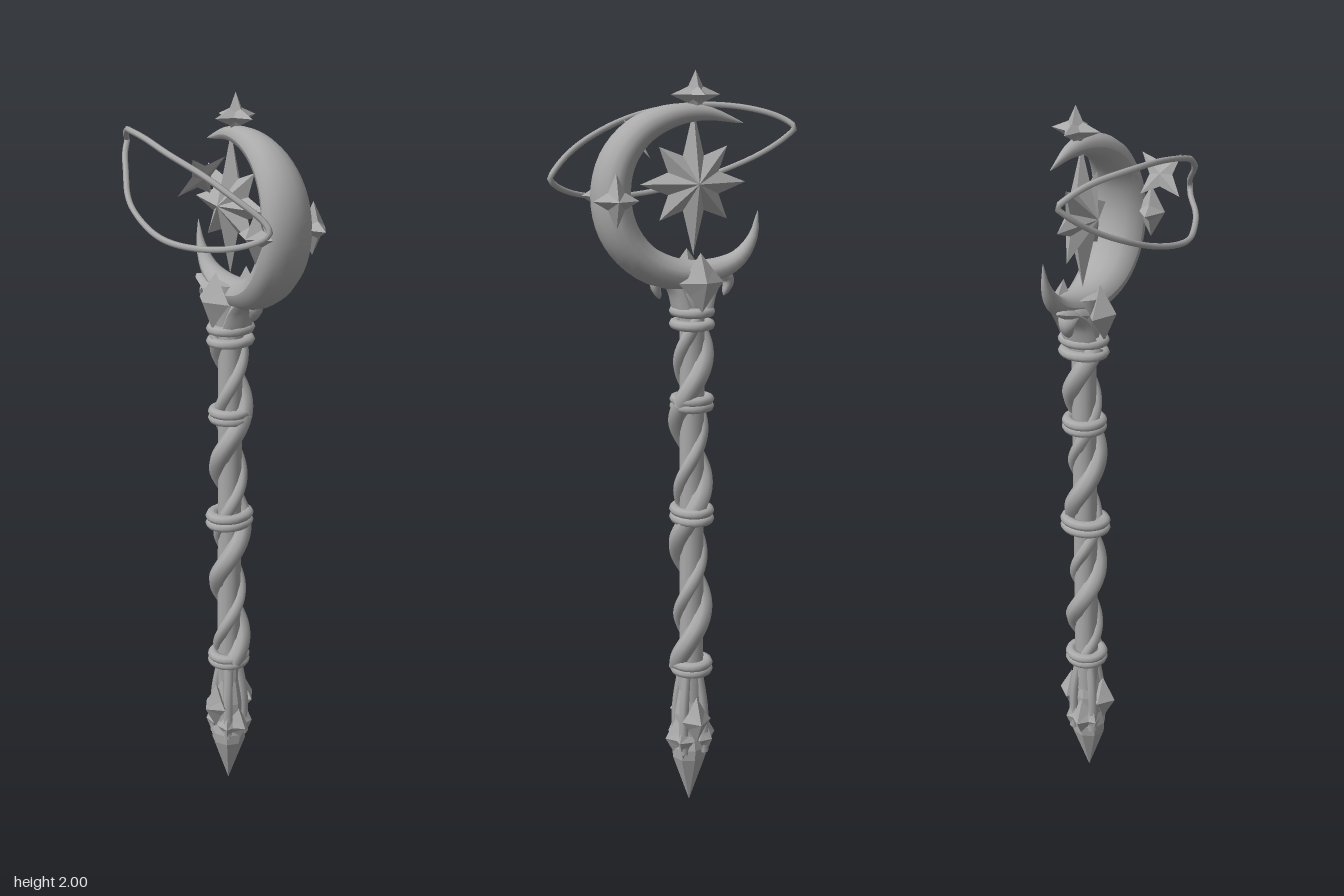
import * as THREE from 'three';

const AXIS_Z = -0.076;
const metal = new THREE.MeshStandardMaterial({ color: 0xaaaaaa });
metal.name = 'grey metal';

const V = (p) => new THREE.Vector3(p[0], p[1], p[2] ?? 0);
const curve = (pts, closed = false) => new THREE.CatmullRomCurve3(pts.map(V), closed);

// Faceted star: a zigzag outline joined to a front and a back apex
function starGeometry(tips, inner, depth) {
  const n = tips.length * 2, pos = [];
  const at = (i) => {
    const k = i % n, r = k % 2 ? inner : tips[k / 2], a = (k / n) * Math.PI * 2;
    return [Math.cos(a) * r, Math.sin(a) * r, 0];
  };
  for (let i = 0; i < n; i++) {
    pos.push(...at(i), ...at(i + 1), 0, 0, depth);
    pos.push(...at(i + 1), ...at(i), 0, 0, -depth);
  }
  const g = new THREE.BufferGeometry();
  g.setAttribute('position', new THREE.Float32BufferAttribute(pos, 3));
  g.computeVertexNormals();
  return g;
}

// Tube whose thickness follows a rule: side(t) within the xy plane, deep(t) along z
function taperedSweep(path, steps, sides, side, deep) {
  const g = new THREE.TubeGeometry(path, steps, 1, sides, false);
  const p = g.attributes.position;
  for (let i = 0; i < p.count; i++) {
    const t = Math.floor(i / (sides + 1)) / steps, c = path.getPointAt(t);
    p.setXYZ(i,
      c.x + (p.getX(i) - c.x) * side(t),
      c.y + (p.getY(i) - c.y) * side(t),
      c.z + (p.getZ(i) - c.z) * deep(t));
  }
  g.computeVertexNormals();
  return g;
}

export function createModel() {
  const root = new THREE.Group();
  root.name = 'moonStaff';
  const add = (name, geometry, pos = [0, 0, 0], rot = [0, 0, 0]) => {
    const m = new THREE.Mesh(geometry, metal);
    m.name = name;
    m.position.set(...pos);
    m.rotation.set(...rot);
    root.add(m);
    return m;
  };

  // Slim core of the shaft
  add('shaftCore', new THREE.CylinderGeometry(0.033, 0.033, 1.14, 12), [-0.003, 0.87, AXIS_Z]);

  // Vines wound around the core, one thick and one thin
  const vine = (name, y0, y1, phase, offset, radius) => {
    const pts = [];
    for (let i = 0; i <= 24; i++) {
      const y = y0 + (y1 - y0) * i / 24, a = phase - (y - 0.78) * 18;
      pts.push([Math.cos(a) * offset, y, AXIS_Z + Math.sin(a) * offset]);
    }
    add(name, new THREE.TubeGeometry(curve(pts), 56, radius, 8));
  };
  for (const [y0, y1] of [[0.41, 0.85], [0.85, 1.155], [1.155, 1.38]]) {
    vine('thickVine', y0, y1, 0, 0.034, 0.026);
    vine('thinVine', y0, y1, 2.7, 0.03, 0.017);
  }

  // Ring collars, each a pair of rounded bands, some deeper than wide
  for (const [y, gap, deep] of [[1.38, 0.017, 1.18], [1.155, 0.009, 1.04], [0.85, 0.011, 1.22], [0.412, 0.009, 1.04]]) {
    for (const s of [-1, 1]) {
      const band = add('collar', new THREE.TorusGeometry(0.044, 0.015, 8, 20),
        [-0.003, y + s * gap, AXIS_Z], [Math.PI / 2, 0, 0]);
      band.scale.set(1, deep, 0.9);
    }
  }

  // Pommel: narrow neck and a faceted spike
  const pommel = [[0, 0], [0.048, 0.14], [0.05, 0.17], [0.04, 0.21], [0.042, 0.27], [0.03, 0.34], [0.034, 0.41]];
  const spike = new THREE.LatheGeometry(pommel.map(([r, y]) => new THREE.Vector2(r, y)), 8).toNonIndexed();
  spike.computeVertexNormals();
  add('pommelSpike', spike, [0.002, 0, AXIS_Z + 0.003]);
  for (let i = 0; i < 4; i++) {
    const a = i * Math.PI / 2, zSide = i % 2 === 0;
    const out = zSide ? 0.05 : 0.035, y = zSide ? 0.265 : 0.2;
    add('pommelGem', starGeometry([0.042, 0.07, 0.042, 0.07], 0.034, 0.038),
      [Math.sin(a) * out, y, AXIS_Z + Math.cos(a) * out], [0, a, 0]);
    const b = a + Math.PI / 4;
    add('pommelLeaf', starGeometry([0.03, 0.065, 0.03, 0.065], 0.024, 0.025),
      [Math.sin(b) * 0.042, 0.2, AXIS_Z + Math.cos(b) * 0.042], [0, b, 0]);
    add('pommelRib', new THREE.TubeGeometry(curve([
      [Math.sin(b) * 0.024, 0.39, AXIS_Z + Math.cos(b) * 0.024],
      [Math.sin(b) * 0.04, 0.29, AXIS_Z + Math.cos(b) * 0.04],
      [Math.sin(b) * 0.042, 0.16, AXIS_Z + Math.cos(b) * 0.042]]), 10, 0.014, 6));
  }

  // Head: flared neck, front and back gems
  add('neck', new THREE.CylinderGeometry(0.055, 0.04, 0.14, 10), [-0.003, 1.45, AXIS_Z]);
  for (const s of [-1, 1]) {
    add('headGem', starGeometry([0.06, 0.076, 0.06, 0.076], 0.046, 0.04),
      [-0.006, 1.477, AXIS_Z - 0.003 + s * 0.057], [s * -0.08, 0, 0]);
    // Side leaves: one sweeping up and out, one hooking down
    const leaf = (pts, w, d) => add('sideLeaf', taperedSweep(
      curve(pts.map(([x, y]) => [x * s - 0.003, y, AXIS_Z])), 14, 8,
      (t) => w * Math.sqrt(1 - t) + 0.001, (t) => d * Math.sqrt(1 - t) + 0.001));
    leaf([[0.025, 1.4], [0.045, 1.455], [0.08, 1.49], [0.142, 1.513]], 0.025, 0.05);
    leaf([[0.04, 1.48], [0.085, 1.49], [0.1, 1.472], [0.088, 1.432]], 0.023, 0.036);
  }

  // Crescent moon, thick on its left side and tapering to both horns
  const moon = curve([[-0.172, 1.65], [-0.16, 1.585], [-0.12, 1.53], [-0.05, 1.5], [0.04, 1.495], [0.13, 1.53],
    [0.19, 1.6], [0.212, 1.69], [0.195, 1.78], [0.14, 1.85], [0.06, 1.888], [-0.03, 1.895], [-0.13, 1.87],
  ].map(([x, y]) => [x, y, -0.089 + 0.085 * x]));
  const swell = (t, power) => Math.pow(Math.max(0, Math.sin(Math.PI * t)), power);
  add('crescentMoon', taperedSweep(moon, 48, 14,
    (t) => 0.048 * swell(t, 0.85) + 0.001, (t) => 0.074 * swell(t, 1.15) + 0.001));

  // Stars: on the moon's flanks, on its crown and floating at the centre
  const four = [0.057, 0.068, 0.057, 0.068];
  add('flankStarFront', starGeometry(four, 0.03, 0.037), [0.206, 1.69, 0.022], [0, 0.1, 0]);
  add('flankStarBack', starGeometry(four, 0.03, 0.037), [0.222, 1.69, -0.15], [0, -0.15, 0]);
  for (const turn of [0, Math.PI / 2]) {
    add('crownStar', starGeometry([0.066, 0.06, 0.066, 0.045], 0.028, 0.028),
      [-0.006, 1.94, -0.09], [0, turn, 0]);
  }
  add('centreStar', starGeometry([0.142, 0.13, 0.182, 0.13, 0.142, 0.13, 0.182, 0.13], 0.074, 0.045),
    [-0.006, 1.722, AXIS_Z]);

  // Orbit hoop with pointed ends, bowed around the front
  const orbit = [];
  for (let i = 0; i < 40; i++) {
    const a = i / 40 * Math.PI * 2, x = 0.325 * Math.cos(a), s = Math.sin(a);
    orbit.push([x, 1.79 - 0.06 * Math.cos(a) + 0.106 * Math.sign(s) * Math.pow(Math.abs(s), 1.4),
      0.17 + 0.1 * x - 1.16 * x * x - 0.005 * s + 0.002 * Math.cos(a * 9)]);
  }
  add('orbitHoop', new THREE.TubeGeometry(curve(orbit, true), 120, 0.0078, 6, true));

  // Thin star hanging inside the hoop, leaning over to the side
  const thinStar = starGeometry([0.076, 0.07, 0.076, 0.07], 0.03, 0.01);
  thinStar.rotateZ(0.7).rotateY(Math.PI / 2);
  add('orbitStar', thinStar, [0.088, 1.827, 0.095], [0, 0, -0.42]);

  return root;
}
